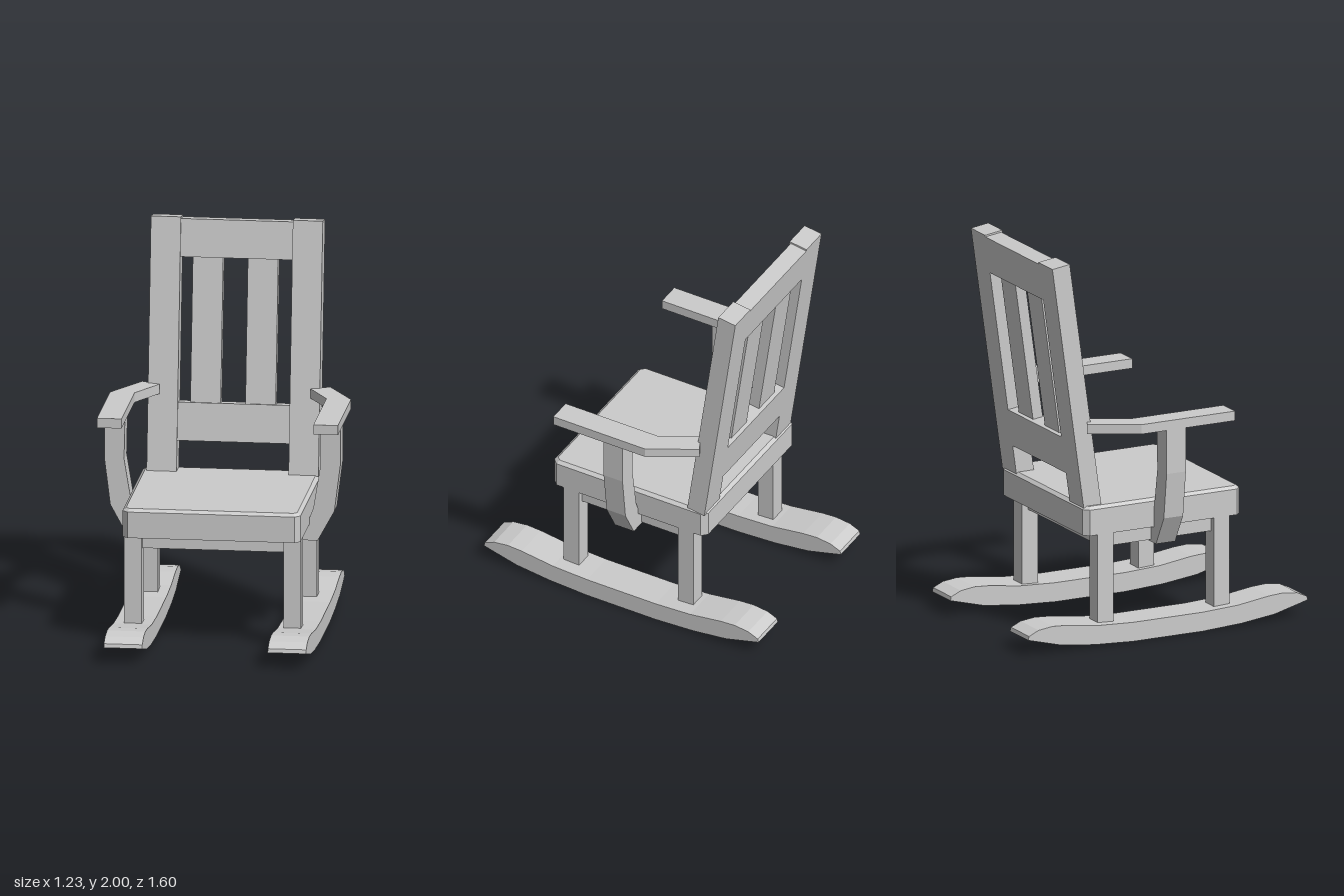
import * as THREE from 'three';

const material = new THREE.MeshStandardMaterial({ color: 0xcccccc, flatShading: true });

function add(parent, name, geometry) {
  const mesh = new THREE.Mesh(geometry, material);
  mesh.name = name;
  parent.add(mesh);
  return mesh;
}

// Box given by its limits on each axis
function box(parent, name, [x0, x1], [y0, y1], [z0, z1]) {
  const mesh = add(parent, name, new THREE.BoxGeometry(x1 - x0, y1 - y0, z1 - z0));
  mesh.position.set((x0 + x1) / 2, (y0 + y1) / 2, (z0 + z1) / 2);
  return mesh;
}

// Outline extruded along z, centred on its thickness
function slab(points, depth) {
  const shape = new THREE.Shape(points.map(([x, y]) => new THREE.Vector2(x, y)));
  return new THREE.ExtrudeGeometry(shape, { depth, bevelEnabled: false }).translate(0, 0, -depth / 2);
}

// Seat board: clipped corners, bevelled upper edge, flat underside
function seatGeometry() {
  const w = 0.435, d = 0.43, c = 0.018, bevel = 0.015, height = 0.15;
  const outline = [[w, d - c], [w - c, d], [c - w, d], [-w, d - c], [-w, c - d], [c - w, -d], [w - c, -d], [w, c - d]];
  const shape = new THREE.Shape(outline.map(([x, y]) => new THREE.Vector2(x, y)));
  const geometry = new THREE.ExtrudeGeometry(shape, {
    depth: height - 2 * bevel, bevelThickness: bevel, bevelSize: 0.018, bevelSegments: 1,
  });
  geometry.rotateX(-Math.PI / 2).translate(0, bevel, 0);
  const p = geometry.attributes.position;
  for (let i = 0; i < p.count; i++) if (p.getY(i) < bevel + 0.001) p.setY(i, 0);
  geometry.computeVertexNormals();
  return geometry;
}

export function createModel() {
  const chair = new THREE.Group();
  chair.name = 'rockingChair';

  // Seat with the block beneath it
  add(chair, 'seat', seatGeometry()).position.set(-0.02, 0.57, 0);
  box(chair, 'seatApron', [-0.44, 0.40], [0.495, 0.575], [-0.34, 0.35]);

  // Rocker outline as (z, y): half of the top and bottom edges, mirrored
  const top = [[0.2, 0.1], [0.4, 0.11], [0.58, 0.135], [0.66, 0.14], [0.74, 0.13], [0.795, 0.105]];
  const bottom = [[0.8, 0.085], [0.61, 0.035], [0.42, 0.012], [0.2, 0]];
  const half = [...top, ...bottom];
  const rockerOutline = [...half, ...half.map(([z, y]) => [-z, y]).reverse()];

  // Curved arm post ending in a foot under the seat, as (x, y)
  const postOutline = [
    [0.6, 1.12], [0.6, 0.88], [0.57, 0.64], [0.485, 0.485], [0.36, 0.485],
    [0.36, 0.57], [0.43, 0.57], [0.462, 0.65], [0.5, 0.88], [0.495, 1.12],
  ];
  // Armrest in plan, as (x, -z)
  const armOutline = [
    [0.613, -0.335], [0.613, 0.2], [0.478, 0.44], [0.385, 0.388], [0.488, 0.2], [0.488, -0.335],
  ];

  for (const side of [-1, 1]) {
    const prefix = side > 0 ? 'left' : 'right';
    const mirrored = (points) => points.map(([x, y]) => [x * side, y]);

    const rocker = slab(rockerOutline, 0.195).rotateY(-Math.PI / 2);
    add(chair, prefix + 'Rocker', rocker).position.x = side * 0.417 - 0.007;

    const legX = side * 0.405 - 0.02;
    box(chair, prefix + 'FrontLeg', [legX - 0.045, legX + 0.045], [0.095, 0.575], [0.29, 0.38]);
    box(chair, prefix + 'BackLeg', [legX - 0.045, legX + 0.045], [0.095, 0.575], [-0.375, -0.285]);

    add(chair, prefix + 'ArmPost', slab(mirrored(postOutline), 0.11)).position.x = -0.01;

    const arm = slab(mirrored(armOutline), 0.05).rotateX(-Math.PI / 2);
    add(chair, prefix + 'Armrest', arm).position.y = 1.135;
  }

  // Leaning backrest: posts, two rails and two thinner slats
  const back = new THREE.Group();
  back.name = 'backrest';
  back.position.set(-0.007, 0.71, -0.39);
  back.rotation.x = THREE.MathUtils.degToRad(-8);
  chair.add(back);
  for (const side of [-1, 1]) {
    const prefix = side > 0 ? 'left' : 'right';
    const postX = side * 0.361;
    box(back, prefix + 'BackPost', [postX - 0.076, postX + 0.076], [0, 1.297], [-0.05, 0.05]);
    const slatX = side * 0.14 - 0.006;
    box(back, prefix + 'BackSlat', [slatX - 0.077, slatX + 0.077], [0.34, 1.11], [-0.028, 0.028]);
  }
  box(back, 'topRail', [-0.29, 0.29], [1.094, 1.288], [-0.05, 0.042]);
  box(back, 'lowerRail', [-0.29, 0.29], [0.16, 0.355], [-0.05, 0.042]);

  return chair;
}
